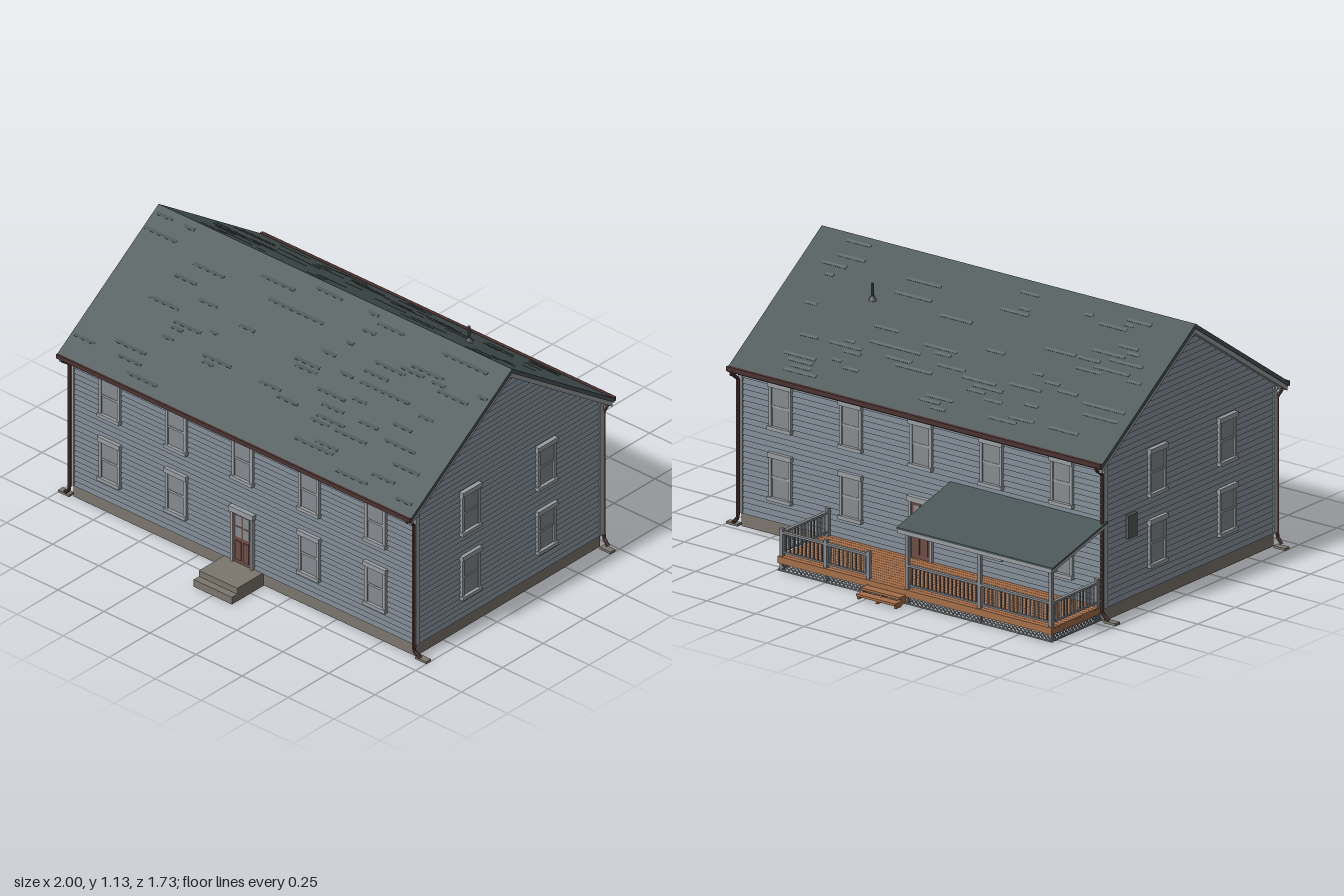
import * as THREE from 'three';
import { mergeGeometries } from 'three/addons/utils/BufferGeometryUtils.js';

const mat = (color) => new THREE.MeshStandardMaterial({ color, flatShading: true });
const M = {
  siding: mat(0x77818a), trim: mat(0x9a9ea2), glass: mat(0x868b8f), roof: mat(0x4a5657),
  dark: mat(0x3c4647), light: mat(0x566463), stone: mat(0x7b776e), base: mat(0x44423f),
  brown: mat(0x4b3432), door: mat(0x6d4d46), wood: mat(0xa46e49), rail: mat(0x85898d), metal: mat(0x55585a),
};
const W = 0.93, ZF = 0.67, ZB = -0.46, RIDGE = 0.113, SLOPE = 0.69, DECK = 0.065;

// Box given by its min and max on each axis
const box = (x0, x1, y0, y1, z0, z1) => new THREE.BoxGeometry(x1 - x0, y1 - y0, z1 - z0)
  .translate((x0 + x1) / 2, (y0 + y1) / 2, (z0 + z1) / 2);
// Prism along x from a [z, y] section
function prism(points, x0, x1) {
  const shape = new THREE.Shape(points.map(([z, y]) => new THREE.Vector2(-z, y)));
  return new THREE.ExtrudeGeometry(shape, { depth: x1 - x0, bevelEnabled: false })
    .rotateY(Math.PI / 2).translate(x0, 0, 0);
}
function part(parent, name, geos, material) {
  const list = [].concat(geos).map((g) => (g.index ? g.toNonIndexed() : g));
  const mesh = new THREE.Mesh(mergeGeometries(list), material);
  mesh.name = name;
  parent.add(mesh);
  return mesh;
}
function group(parent, name) {
  const g = new THREE.Group();
  g.name = name;
  parent.add(g);
  return g;
}
// Roof-shaped band: surface offset down by top, with given thickness
function chevron(top, thick, zFront, zBack, x0, x1) {
  const y = (z, d) => 1.13 - Math.abs(z - RIDGE) * SLOPE - d;
  const b = top + thick;
  return prism([[zFront, y(zFront, top)], [RIDGE, y(RIDGE, top)], [zBack, y(zBack, top)],
    [zBack, y(zBack, b)], [RIDGE, y(RIDGE, b)], [zFront, y(zFront, b)]], x0, x1);
}

// Double-hung window facing +z, centred at its own origin
function sashWindow(parent) {
  const g = group(parent, 'window'), w = 0.057, h = 0.1;
  part(g, 'windowTrim', [
    box(-w, -w + 0.014, -h, h, 0, 0.014), box(w - 0.014, w, -h, h, 0, 0.014),
    box(-w - 0.003, w + 0.003, h - 0.018, h + 0.004, 0, 0.02),
    box(-w - 0.003, w + 0.003, -h - 0.004, -h + 0.012, 0, 0.022),
    box(-w, w, -0.006, 0.004, 0, 0.011),
  ], M.trim);
  part(g, 'windowPanes', [box(-w + 0.01, w - 0.01, 0, h - 0.01, 0, 0.009), box(-w + 0.01, w - 0.01, -h + 0.01, 0, 0, 0.007)], M.glass);
  return g;
}
// Panelled door with glazed upper half, facing +z, standing on its origin
function door(parent, name) {
  const g = group(parent, name), w = 0.06, h = 0.265;
  part(g, 'doorTrim', [box(-w, -w + 0.012, 0, h, 0, 0.016), box(w - 0.012, w, 0, h, 0, 0.016),
    box(-w - 0.006, w + 0.006, h - 0.02, h + 0.004, 0, 0.022)], M.trim);
  const panels = [box(-w + 0.01, w - 0.01, 0, h - 0.015, 0, 0.007)];
  for (const s of [-1, 1]) panels.push(box(s * 0.021 - 0.015, s * 0.021 + 0.015, 0.02, 0.11, 0, 0.011));
  part(g, 'doorLeaf', panels, M.door);
  const panes = [];
  for (const s of [-1, 1]) for (let r = 0; r < 2; r++) {
    panes.push(box(s * 0.021 - 0.016, s * 0.021 + 0.016, 0.128 + r * 0.055, 0.177 + r * 0.055, 0, 0.009));
  }
  part(g, 'doorGlass', panes, M.glass);
  part(g, 'doorKnob', new THREE.SphereGeometry(0.005, 8, 6).translate(0.042, 0.118, 0.014), M.metal);
  return g;
}
// Baluster railing between two points on the deck
function railing(parent, x0, z0, x1, z1) {
  const len = Math.hypot(x1 - x0, z1 - z0), n = Math.round(len / 0.021);
  const geos = [box(0, len, 0.098, 0.107, -0.008, 0.008), box(0, len, 0.014, 0.021, -0.005, 0.005)];
  for (let i = 1; i < n; i++) {
    const x = (i * len) / n;
    geos.push(box(x - 0.003, x + 0.003, 0.016, 0.1, -0.003, 0.003));
  }
  const m = part(parent, 'railing', geos, M.rail);
  m.position.set(x0, DECK, z0);
  m.rotation.y = -Math.atan2(z1 - z0, x1 - x0);
}
// Criss-cross skirt below the deck
function lattice(parent, x0, z0, x1, z1) {
  const len = Math.hypot(x1 - x0, z1 - z0), geos = [box(0, len, 0, 0.005, -0.003, 0.003)];
  for (let x = 0.02; x < len - 0.01; x += 0.02) for (const s of [-1, 1]) {
    geos.push(new THREE.BoxGeometry(0.004, 0.052, 0.002).rotateZ((s * Math.PI) / 4).translate(x, 0.021, s * 0.001));
  }
  const m = part(parent, 'lattice', geos, M.rail);
  m.position.set(x0, 0.003, z0);
  m.rotation.y = -Math.atan2(z1 - z0, x1 - x0);
}

export function createModel() {
  const house = new THREE.Group();
  house.name = 'house';

  // Foundation and wall core
  part(house, 'foundation', box(-W, W, 0.002, 0.06, ZB, ZF), M.stone);
  part(house, 'foundationFloor', box(-W + 0.002, W - 0.002, 0, 0.01, ZB + 0.002, ZF - 0.002), M.base);
  part(house, 'wallCore', prism([[ZF, 0.055], [ZF, 0.715], [RIDGE, 1.1], [ZB, 0.715], [ZB, 0.055]], -W, W), M.siding);

  // Lapped clapboards, clipped to the gables
  const boards = [], step = 0.0245;
  const clap = (len, y) => prism([[0, y], [0.008, y], [0.001, y + step], [0, y + step]], -len / 2, len / 2);
  for (let y = 0.06; y < 1.07; y += step) {
    if (y < 0.68) {
      boards.push(clap(2 * W, y).translate(0, 0, ZF), clap(2 * W, y).rotateY(Math.PI).translate(0, 0, ZB));
    }
    const half = (1.105 - y - step) / SLOPE;
    const a = Math.min(ZF, RIDGE + half), b = Math.max(ZB, RIDGE - half);
    for (const s of [-1, 1]) boards.push(clap(a - b, y).rotateY((s * Math.PI) / 2).translate(s * W, 0, (a + b) / 2));
  }
  part(house, 'clapboards', boards, M.siding);

  // Corner boards, boxed eaves and rake boards
  const trim = [];
  for (const s of [-1, 1]) {
    for (const z of [ZF, ZB]) trim.push(box(s * W - 0.011, s * W + 0.011, 0.06, 0.7, z - 0.011, z + 0.011));
    trim.push(chevron(0.008, 0.034, 0.728, -0.508, s * 0.944 - 0.012, s * 0.944 + 0.012));
  }
  trim.push(box(-0.95, 0.95, 0.68, 0.695, ZF, 0.726), box(-0.95, 0.95, 0.68, 0.695, -0.506, ZB));
  part(house, 'trim', trim, M.trim);

  // Main roof with scattered shingles of other shades
  part(house, 'roof', chevron(0, 0.02, 0.733, -0.515, -0.96, 0.96), M.roof);
  let seed = 7;
  const rnd = () => (seed = (seed * 16807) % 2147483647) / 2147483647;
  const shingles = { dark: [], light: [] };
  const tilt = Math.atan(SLOPE);
  for (let i = 0; i < 130; i++) {
    const front = i % 2, w = 0.04 + rnd() * 0.14;
    const x = (rnd() - 0.5) * (1.9 - w), d = 0.03 + Math.floor(rnd() * 27) * 0.021;
    const s = front ? 1 : -1;
    shingles[front ? 'dark' : 'light'].push(new THREE.BoxGeometry(w, 0.003, 0.014).rotateX(s * tilt)
      .translate(x, 1.13 - d * SLOPE, RIDGE + s * d));
  }
  part(house, 'darkShingles', shingles.dark, M.dark);
  part(house, 'lightShingles', shingles.light, M.light);
  part(house, 'ventPipe', [new THREE.CylinderGeometry(0.006, 0.006, 0.1, 10).translate(0.52, 0.995, -0.12),
    new THREE.CylinderGeometry(0.007, 0.018, 0.02, 10).translate(0.52, 0.98, -0.12)], M.metal);

  // Gutters, downspouts and splash blocks
  part(house, 'gutters', [box(-0.96, 0.96, 0.683, 0.703, 0.726, 0.742), box(-0.96, 0.96, 0.683, 0.703, -0.524, -0.508)], M.brown);
  for (const sx of [-1, 1]) for (const [z, sz] of [[ZF, 1], [ZB, -1]]) {
    const pts = [[0.935, 0.69, 0.06], [0.935, 0.672, 0.058], [0.935, 0.645, 0.018], [0.935, 0.04, 0.018], [0.965, 0.013, 0.01]]
      .map(([x, y, d]) => new THREE.Vector3(sx * x, y, z + sz * d));
    const path = new THREE.CurvePath();
    for (let i = 1; i < pts.length; i++) path.add(new THREE.LineCurve3(pts[i - 1], pts[i]));
    part(house, 'downspout', new THREE.TubeGeometry(path, 40, 0.008, 6), M.brown);
    part(house, 'splashBlock', box(sx * 0.97 - 0.03, sx * 0.97 + 0.03, 0, 0.01, z - 0.015, z + 0.015), M.stone);
  }

  // Windows on all four walls
  for (const y of [0.256, 0.562]) {
    for (const x of [-0.722, -0.361, 0, 0.361, 0.722]) {
      if (x === 0 && y < 0.4) continue;
      sashWindow(house).position.set(x, y, ZF + 0.003);
      const back = sashWindow(house);
      back.position.set(x, y, ZB - 0.003);
      back.rotation.y = Math.PI;
    }
    for (const s of [-1, 1]) for (const z of [0.347, -0.118]) {
      const side = sashWindow(house);
      side.position.set(s * (W + 0.003), y, z);
      side.rotation.y = (s * Math.PI) / 2;
    }
  }

  // Doors, front steps, lamp and meter
  door(house, 'frontDoor').position.set(0, 0.058, ZF + 0.005);
  const backDoor = door(house, 'backDoor');
  backDoor.position.set(0, DECK, ZB - 0.005);
  backDoor.rotation.y = Math.PI;
  part(house, 'frontSteps', [box(-0.104, 0.104, 0, 0.062, ZF, 0.832), box(-0.104, 0.104, 0, 0.034, 0.83, 0.865)], M.stone);
  part(house, 'wallLamp', [box(-0.118, -0.102, 0.27, 0.3, ZB - 0.014, ZB), box(-0.113, -0.107, 0.292, 0.297, ZB - 0.04, ZB),
    new THREE.ConeGeometry(0.013, 0.018, 10).translate(-0.11, 0.286, ZB - 0.038)], M.metal);
  part(house, 'electricMeter', box(-0.948, -W, 0.32, 0.42, -0.32, -0.26), M.metal);

  // Deck: boards, rim, joists and steps
  const porch = group(house, 'porch');
  const X0 = -0.92, X1 = 0.488, ZD = -0.795, S0 = -0.17, S1 = 0.03;
  const deck = [box(X0, X1, 0.036, 0.058, ZD, ZD + 0.012), box(X0, X1, 0.036, 0.058, ZB - 0.012, ZB)];
  for (let i = 0; i < 14; i++) deck.push(box(X0, X1, 0.057, DECK, ZD + i * 0.0239, ZD + i * 0.0239 + 0.0225));
  for (let i = 0; i <= 34; i++) {
    const x = X0 + (i * (X1 - X0 - 0.01)) / 34;
    deck.push(box(x, x + 0.01, 0.036, 0.058, ZD, ZB));
  }
  part(porch, 'deck', deck, M.wood);
  part(porch, 'deckSteps', [box(S0, S1, 0.032, 0.042, -0.835, -0.793), box(S0, S1, 0.014, 0.024, -0.866, -0.826),
    ...[S0, -0.075, S1 - 0.01].map((x) => prism([[ZD, 0.045], [-0.86, 0.014], [-0.86, 0], [-0.83, 0], [ZD, 0.015]], x, x + 0.01))], M.wood);

  // Posts, railings and lattice skirt
  const zr = ZD + 0.015, posts = [];
  const post = (x, z, top) => posts.push(box(x - 0.008, x + 0.008, 0, top, z - 0.008, z + 0.008));
  for (const x of [X0 + 0.015, -0.54, S0]) post(x, zr, 0.325);
  for (const x of [S1, 0.25, X1 - 0.012]) post(x, zr, 0.185);
  post(X0 + 0.015, ZB - 0.015, 0.185);
  post(X1 - 0.012, ZB - 0.015, 0.185);
  part(porch, 'porchPosts', posts, M.rail);
  railing(porch, X0 + 0.015, zr, -0.54, zr);
  railing(porch, -0.54, zr, S0, zr);
  railing(porch, S1, zr, 0.25, zr);
  railing(porch, 0.25, zr, X1 - 0.012, zr);
  for (const x of [X0 + 0.015, X1 - 0.012]) railing(porch, x, zr, x, ZB);
  lattice(porch, X0, ZD + 0.004, X1, ZD + 0.004);
  for (const x of [X0 + 0.004, X1 - 0.004]) lattice(porch, x, ZD, x, ZB);

  // Lean-to porch roof
  const lean = (d, t, x0, x1) => prism([[ZB, 0.436 - d], [-0.826, 0.34 - d], [-0.826, 0.34 - d - t], [ZB, 0.436 - d - t]], x0, x1);
  part(porch, 'porchRoof', lean(0, 0.008, -0.948, -0.146), M.roof);
  part(porch, 'porchRoofTrim', [lean(0.008, 0.016, -0.944, -0.15), box(-0.93, -0.16, 0.305, 0.33, zr - 0.01, zr + 0.01)], M.trim);
  return house;
}
